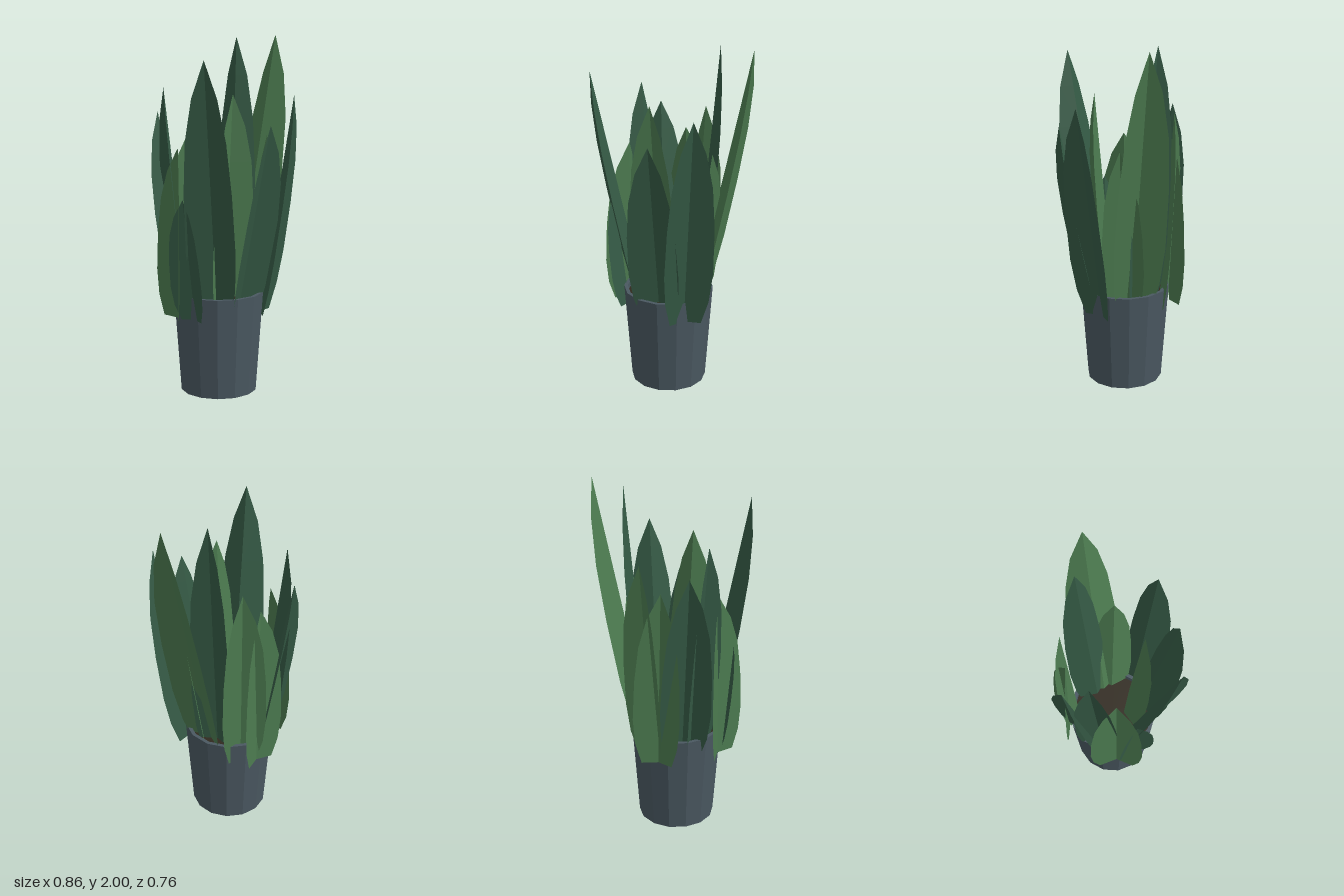
import * as THREE from 'three';

const mat = (name, color, extra = {}) => {
  const m = new THREE.MeshStandardMaterial({ color, ...extra });
  m.name = name;
  return m;
};

// Cross-sections of a blade: [fraction of length, fraction of half width]
const PROFILE = [[0, 0.65], [0.12, 0.9], [0.27, 1], [0.5, 0.95], [0.7, 0.8], [0.86, 0.5], [1, 0]];
const BASE_Y = 0.45;

// Blade folded along its midrib, with both edges bent away from the plant's centre
function bladeGeometry([bx, bz], [tx, ty, tz], [ox, oz], halfWidth, fold = 0.45) {
  const base = new THREE.Vector3(bx, BASE_Y, bz);
  const tip = new THREE.Vector3(tx, ty, tz);
  const out = new THREE.Vector3(ox, 0, oz).normalize();
  const side = new THREE.Vector3(out.z, 0, -out.x);
  const positions = [], index = [];
  for (const s of [1, -1]) {
    const start = positions.length / 3;
    PROFILE.forEach(([t, f], i) => {
      const w = f * halfWidth;
      const mid = base.clone().lerp(tip, t);
      const edge = mid.clone().addScaledVector(side, s * w).addScaledVector(out, fold * w);
      positions.push(...mid.toArray(), ...edge.toArray());
      if (i === 0) return;
      const a = start + 2 * (i - 1), b = a + 1, c = a + 2, d = a + 3;
      if (s > 0) index.push(a, b, d, a, d, c);
      else index.push(a, d, b, a, c, d);
    });
  }
  const g = new THREE.BufferGeometry();
  g.setAttribute('position', new THREE.Float32BufferAttribute(positions, 3));
  g.setIndex(index);
  g.computeVertexNormals();
  return g;
}

export function createModel() {
  const model = new THREE.Group();
  model.name = 'pottedPlant';
  const potGrey = mat('potGrey', 0x4a5861, { flatShading: true });
  const soilBrown = mat('soilBrown', 0x30291e);
  const lightGreen = mat('lightGreen', 0x4c7b50, { side: THREE.DoubleSide });
  const darkGreen = mat('darkGreen', 0x355a45, { side: THREE.DoubleSide });

  const add = (name, geometry, material, parent = model) => {
    const mesh = new THREE.Mesh(geometry, material);
    mesh.name = name;
    parent.add(mesh);
    return mesh;
  };

  // Tapered pot with an open rim, and the soil inside it
  const potProfile = [[0, 0], [0.217, 0], [0.257, 0.575], [0.236, 0.575], [0.232, 0.53]]
    .map(([x, y]) => new THREE.Vector2(x, y));
  add('pot', new THREE.LatheGeometry(potProfile, 14), potGrey).position.set(-0.038, 0, -0.013);
  const soil = add('soil', new THREE.CircleGeometry(0.237, 28), soilBrown);
  soil.rotation.x = -Math.PI / 2;
  soil.position.set(-0.038, 0.545, -0.013);

  // Leaves: material, base [x, z], tip [x, y, z], outward direction [x, z], half width, fold
  const leaves = [
    ['leftTallLeaf', lightGreen, [0.10, -0.005], [0.435, 2.0, 0.018], [1, 0], 0.15],
    ['leftBackTallLeaf', darkGreen, [0.10, -0.05], [0.23, 1.99, -0.105], [0.97, -0.24], 0.122],
    ['rightTallLeaf', darkGreen, [-0.14, 0.06], [-0.408, 1.88, 0.2], [-0.9, 0.42], 0.14],
    ['backRightLeaf', darkGreen, [-0.15, -0.13], [-0.25, 1.72, -0.23], [-0.85, -0.5], 0.12],
    ['backLeaf', darkGreen, [-0.1, -0.165], [-0.17, 1.58, -0.35], [-0.32, -0.95], 0.142],
    ['backLeftLeaf', lightGreen, [0.06, -0.19], [0.12, 1.6, -0.245], [0.5, -0.87], 0.128],
    ['innerFrontLeaf', lightGreen, [-0.06, 0.04], [-0.1, 1.69, 0.14], [-0.2, 1], 0.14],
    ['frontLeftLeaf', darkGreen, [0.1, 0.17], [0.19, 1.68, 0.335], [0.45, 0.9], 0.137],
    ['frontLeaf', darkGreen, [-0.05, 0.135], [-0.05, 1.53, 0.36], [0, 1], 0.143],
    ['leftFrontLeaf', lightGreen, [0.11, 0.04], [0.24, 1.44, 0.11], [0.95, 0.31], 0.115],
    ['backRimLeaf', lightGreen, [0.015, -0.272], [0.0, 1.46, -0.267], [0.1, -1], 0.135, 0.38],
    ['rightRimLeaf', lightGreen, [-0.292, -0.095], [-0.285, 1.4, -0.095], [-0.92, -0.39], 0.148, 0.41],
    ['rightShortLeaf', darkGreen, [-0.27, 0.01], [-0.355, 1.13, 0.0], [-1, 0.05], 0.108],
  ];
  const foliage = new THREE.Group();
  foliage.name = 'foliage';
  model.add(foliage);
  for (const [name, material, ...shape] of leaves) add(name, bladeGeometry(...shape), material, foliage);

  return model;
}
